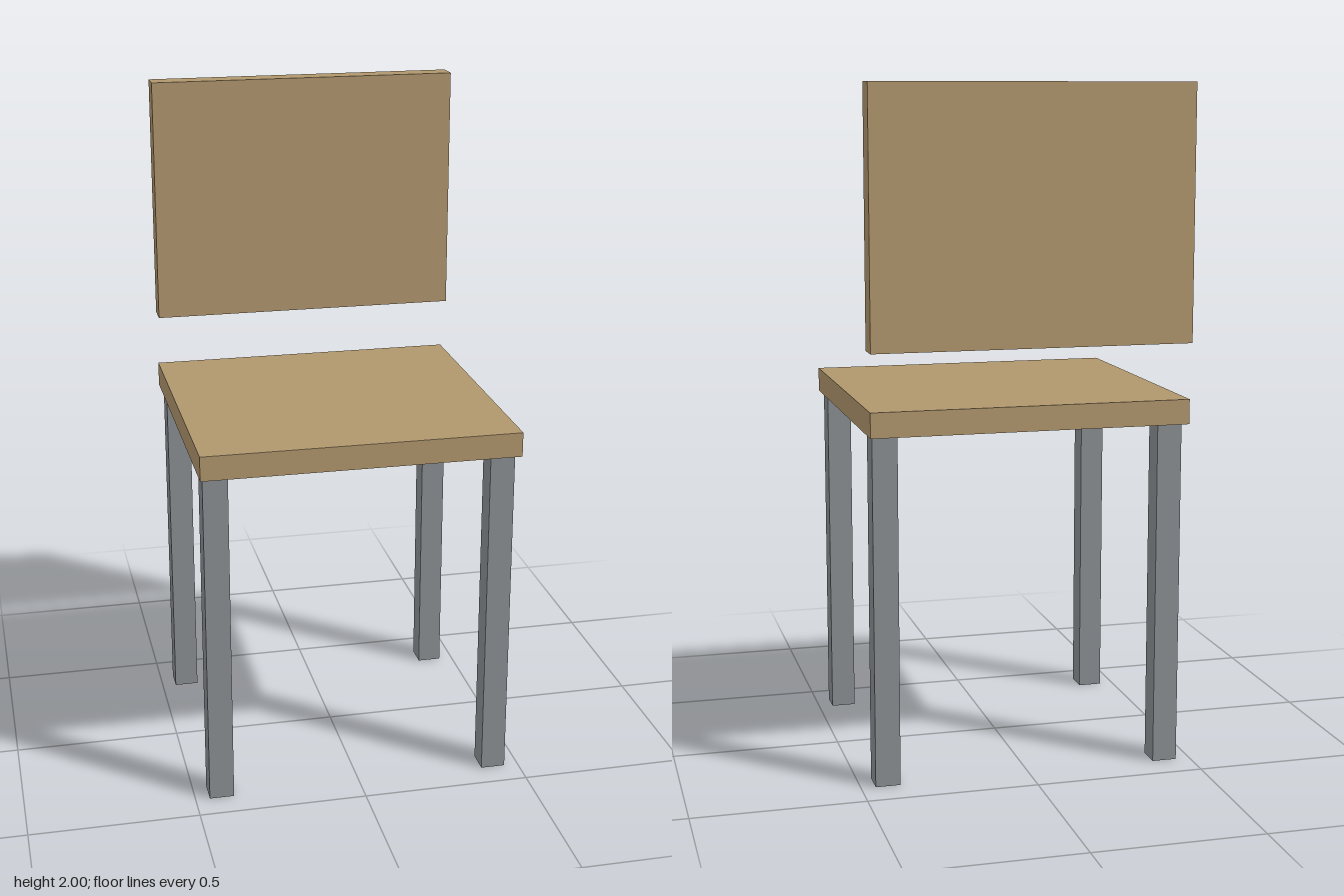
import * as THREE from 'three';

export function createModel() {
  const wood = new THREE.MeshStandardMaterial({ color: 0xb0966d });
  wood.name = 'tan wood';
  const metal = new THREE.MeshStandardMaterial({ color: 0x8a8f92, side: THREE.DoubleSide });
  metal.name = 'grey metal';

  const chair = new THREE.Group();
  chair.name = 'chair';

  // Box slab given by its extents on each axis
  function slab(name, [x0, x1], [y0, y1], [z0, z1]) {
    const mesh = new THREE.Mesh(new THREE.BoxGeometry(x1 - x0, y1 - y0, z1 - z0), wood);
    mesh.position.set((x0 + x1) / 2, (y0 + y1) / 2, (z0 + z1) / 2);
    mesh.name = name;
    chair.add(mesh);
  }
  slab('seat', [-0.468, 0.468], [1.026, 1.099], [-0.436, 0.45]);
  slab('backrest', [-0.468, 0.468], [1.264, 2], [-0.45, -0.379]);

  // Square tube legs, open at the ends
  const legHeight = 1.026;
  const legWidth = 0.073;
  const legGeometry = new THREE.CylinderGeometry(
    legWidth / Math.SQRT2, legWidth / Math.SQRT2, legHeight, 4, 1, true
  ).rotateY(Math.PI / 4).toNonIndexed();
  legGeometry.computeVertexNormals();

  for (const [end, z] of [['front', 0.378], ['back', -0.364]]) {
    for (const [side, x] of [['Left', 0.421], ['Right', -0.421]]) {
      const leg = new THREE.Mesh(legGeometry, metal);
      leg.position.set(x, legHeight / 2, z);
      leg.name = `${end}${side}Leg`;
      chair.add(leg);
    }
  }
  return chair;
}
